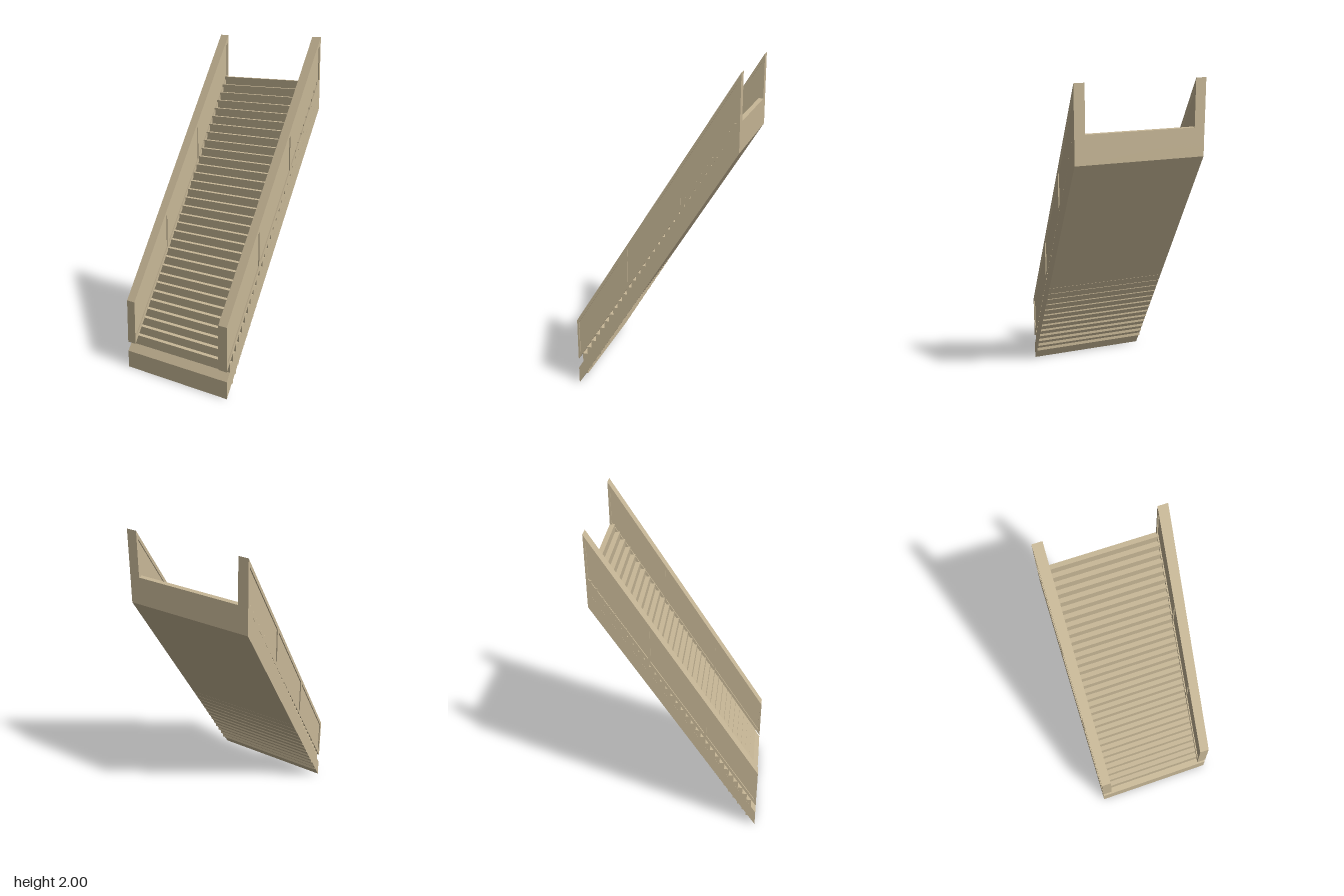
import * as THREE from 'three';

const HALF_W = 0.375, WALL = 0.06, END = 0.49;
const SLOPE = 1.565 / 0.98;
const STEPS = 32, FIRST_Z = 0.46, RUN = (FIRST_Z + END) / STEPS, RISE = 0.049;

// Four corners of a slanted band: u runs from front to back, y0..y1 measured at the front end
function band(u0, u1, y0, y1) {
  const lift = (u) => (u + END) * SLOPE;
  return [[u0, y0 + lift(u0)], [u1, y0 + lift(u1)], [u1, y1 + lift(u1)], [u0, y1 + lift(u0)]]
    .map(([u, y]) => new THREE.Vector2(u, y));
}

// Side outline extruded across the width, centred on x
function across(points, width, holes = []) {
  const shape = new THREE.Shape(points);
  holes.forEach((h) => shape.holes.push(new THREE.Path(h)));
  const geo = new THREE.ExtrudeGeometry(shape, { depth: width, bevelEnabled: false });
  return geo.translate(0, 0, -width / 2).rotateY(Math.PI / 2);
}

export function createModel() {
  const model = new THREE.Group();
  model.name = 'staircase';
  const sandstone = new THREE.MeshStandardMaterial({ color: 0xc8b897 });
  sandstone.name = 'sandstone';

  const add = (name, geo, parent = model) => {
    const mesh = new THREE.Mesh(geo, sandstone);
    mesh.name = name;
    parent.add(mesh);
    return mesh;
  };

  // Sloping slab under the flight
  add('baseSlab', across(band(-END, END, 0, 0.105), HALF_W * 2));

  // Steps, slightly steeper than the slab so the lowest ones show below it
  const steps = new THREE.Group();
  steps.name = 'steps';
  model.add(steps);
  const stepHeight = 0.136;
  const stepGeo = new THREE.BoxGeometry(HALF_W * 2 - 0.001, stepHeight, RUN);
  for (let i = 0; i < STEPS; i++) {
    add('step', stepGeo, steps).position.set(
      0, 0.211 + i * RISE - stepHeight / 2, FIRST_Z - (i + 0.5) * RUN);
  }

  // Side walls: a frame with three shallow recessed panels
  const bottom = 0.165, top = 0.435, rail = 0.03, post = 0.012;
  const bay = (END * 2 - post) / 3;
  const openings = [0, 1, 2].map((i) => {
    const u = -END + post + i * bay;
    return band(u, u + bay - post, bottom + rail, top - rail);
  });
  for (const side of [-1, 1]) {
    const wall = new THREE.Group();
    wall.name = side > 0 ? 'leftWall' : 'rightWall';
    wall.position.x = side * (HALF_W - WALL / 2);
    model.add(wall);
    add('wallFrame', across(band(-END, END, bottom, top), WALL, openings), wall);
    openings.forEach((o) => add('wallPanel', across(o, WALL - 0.014), wall));
  }

  return model;
}
